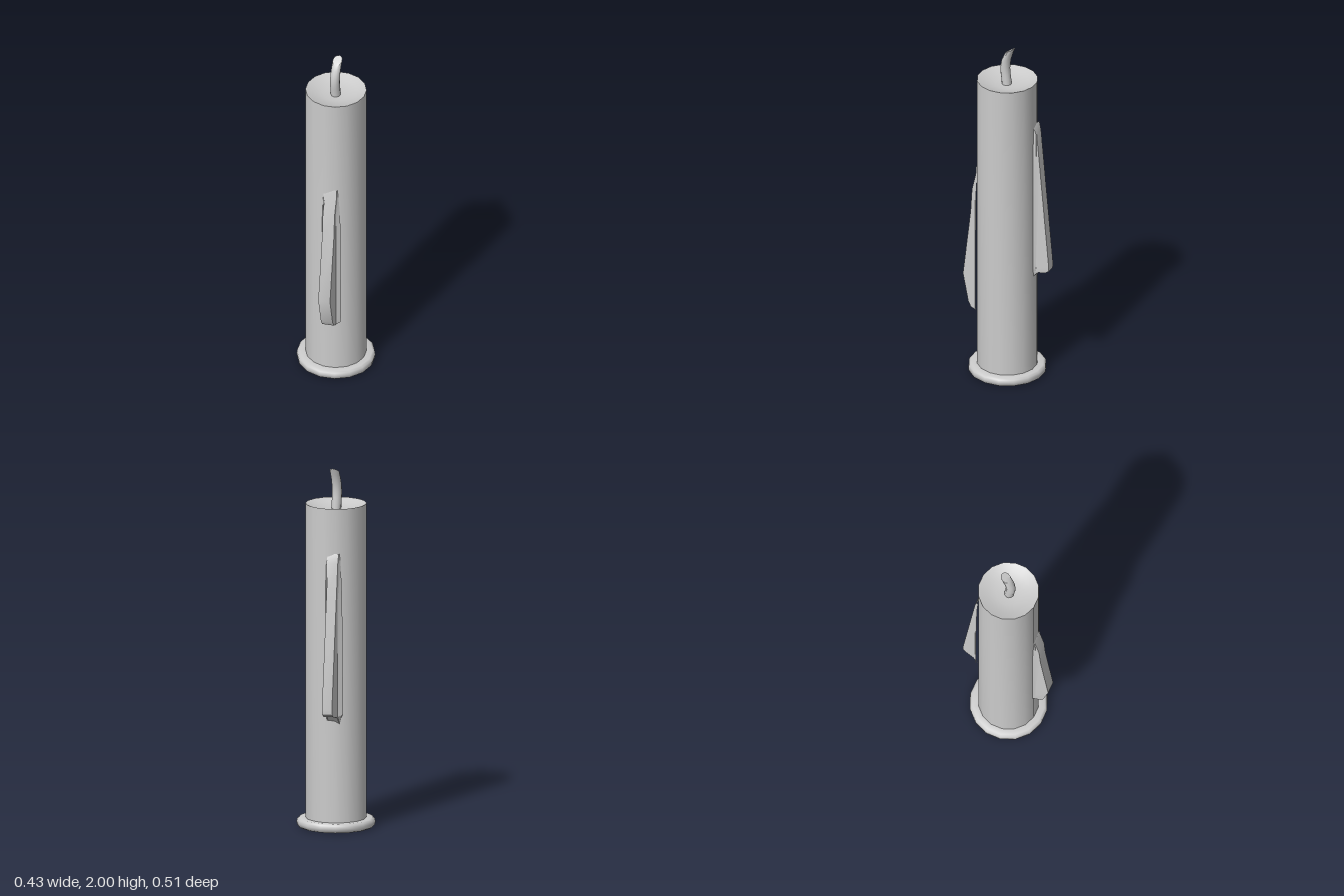
import * as THREE from 'three';
import { toCreasedNormals } from 'three/addons/utils/BufferGeometryUtils.js';

const SIDES = 16;

export function createModel() {
  const model = new THREE.Group();
  const wax = new THREE.MeshStandardMaterial({ color: 0xcccccc });

  const add = (name, geometry, crease = 0.7) => {
    const mesh = new THREE.Mesh(toCreasedNormals(geometry, crease), wax);
    mesh.name = name;
    model.add(mesh);
    return mesh;
  };
  const lathe = (points) =>
    new THREE.LatheGeometry(points.map(([r, y]) => new THREE.Vector2(r, y)), SIDES);

  // Candle column with a shallow melted bowl on top
  add('candleBody', lathe([
    [0, 0.04], [0.167, 0.04], [0.167, 1.8], [0.155, 1.796],
    [0.12, 1.782], [0.07, 1.772], [0, 1.77],
  ]));

  // Softly rounded ring around the foot, open underneath
  add('baseRing', lathe([
    [0.163, 0], [0.2, 0], [0.213, 0.008], [0.215, 0.025], [0.213, 0.042],
    [0.2, 0.05], [0.163, 0.05], [0.163, 0],
  ]), 1.1);

  // Wick: a cylinder bent backwards, its end cut at a slant
  const wickPath = new THREE.CatmullRomCurve3([
    [1.75, 0.002], [1.8, 0.007], [1.86, 0.014], [1.92, 0.006], [1.982, -0.019],
  ].map(([y, z]) => new THREE.Vector3(0, y, z)));
  const wick = new THREE.CylinderGeometry(0.027, 0.027, 1, 12, 8);
  const wp = wick.attributes.position;
  for (let i = 0; i < wp.count; i++) {
    const t = wp.getY(i) + 0.5;
    const centre = wickPath.getPoint(t);
    const z = wp.getZ(i);
    wp.setXYZ(i, wp.getX(i), centre.y - z * 0.65 * t * t, centre.z + z);
  }
  add('wick', wick);

  // Wax drip: cross-sections [y, outward reach] with sides flaring into the column
  const drip = (name, sections, x0, x1, flare) => {
    const positions = [];
    const index = [];
    const slant = (x) => -0.18 * (x - x0);
    const across = 6;
    for (const [y, reach] of sections) {
      const grow = Math.min(1, Math.max(0, (reach - 0.16) / 0.05));
      const mid = Math.min(reach, 0.178);
      const row = [
        [x0 - flare * grow, 0.155], [x0, mid], [x0 + 0.008, reach],
        [x1, reach], [x1, mid], [x1 + flare * grow, 0.145],
      ];
      for (const [x, z] of row) positions.push(x, y, z + (z > 0.16 ? slant(x) : 0));
    }
    for (let i = 0; i < sections.length - 1; i++) {
      for (let j = 0; j < across - 1; j++) {
        const a = i * across + j;
        const b = a + across;
        index.push(a, b, a + 1, b, b + 1, a + 1);
      }
    }
    const geometry = new THREE.BufferGeometry();
    geometry.setAttribute('position', new THREE.Float32BufferAttribute(positions, 3));
    geometry.setIndex(index);
    return add(name, geometry, 0.6);
  };

  drip('frontDrip', [
    [1.24, 0.155], [1.2, 0.17], [1.09, 0.197], [0.95, 0.206], [0.55, 0.257],
    [0.39, 0.222], [0.36, 0.205], [0.352, 0.18], [0.35, 0.14],
  ], 0.002, 0.075, 0.02);

  drip('backDrip', [
    [1.55, 0.155], [1.5, 0.178], [1.3, 0.198], [0.7, 0.258], [0.67, 0.256],
    [0.655, 0.235], [0.645, 0.19], [0.6, 0.14],
  ], 0.02, 0.083, 0.022).rotation.y = Math.PI;

  return model;
}
